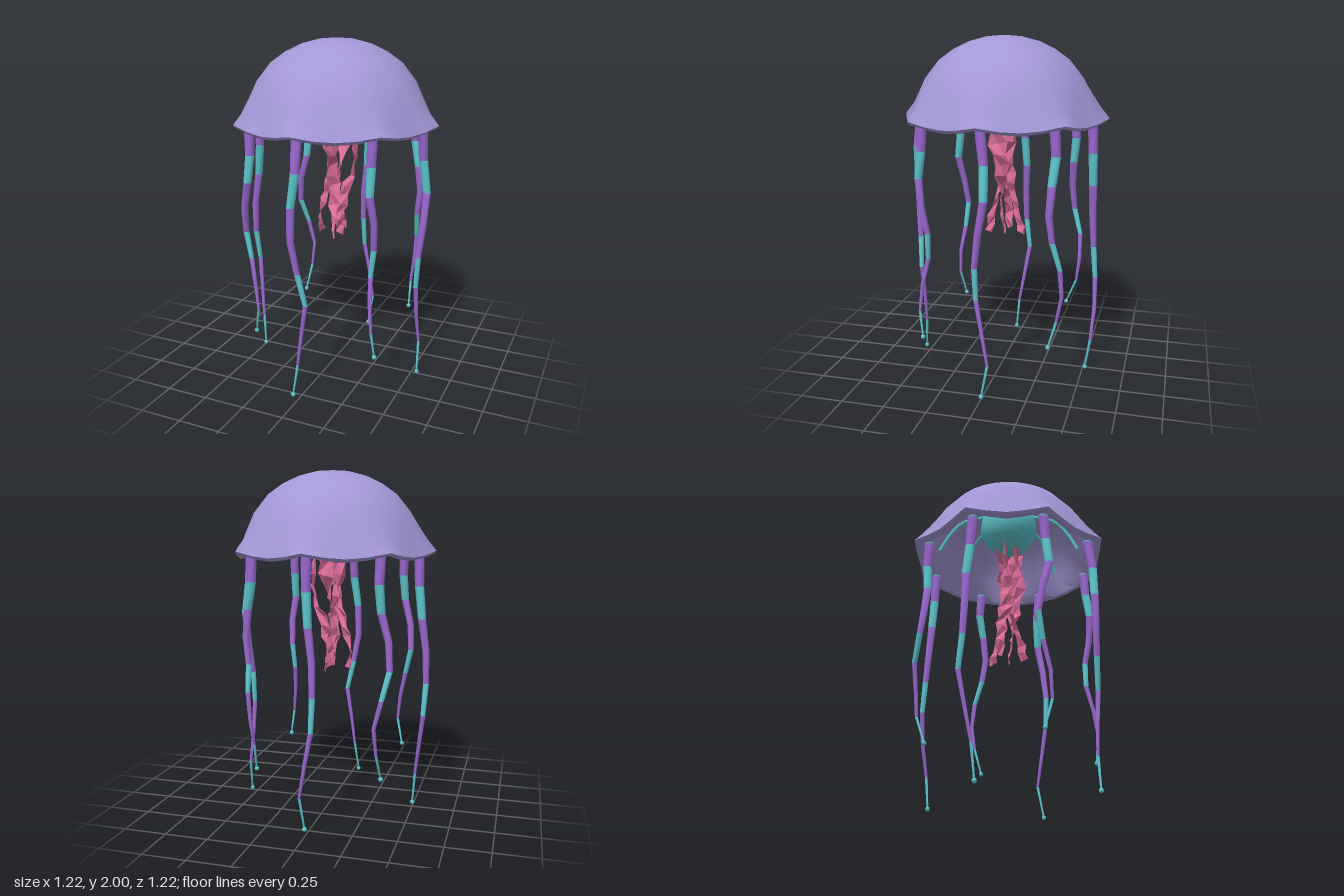
import * as THREE from 'three';
import { mergeVertices, toCreasedNormals } from 'three/addons/utils/BufferGeometryUtils.js';

const mat = (name, color, extra = {}) => {
  const m = new THREE.MeshStandardMaterial({ color, ...extra });
  m.name = name;
  return m;
};

// Scalloped bell: a lathed shell whose rim is pulled in and down between eight tips
function bellGeometry() {
  const profile = [
    [0, 1.975], [0.19, 1.94], [0.35, 1.845], [0.435, 1.745], [0.49, 1.65], [0.535, 1.58], [0.575, 1.53],
    [0.6, 1.528], [0.612, 1.543],
    [0.565, 1.6], [0.52, 1.665], [0.46, 1.76], [0.375, 1.862], [0.29, 1.923], [0.2, 1.966], [0.1, 1.992], [0, 2],
  ].map(([r, y]) => new THREE.Vector2(r, y));
  let geo = new THREE.LatheGeometry(profile, 32);
  const p = geo.attributes.position;
  for (let i = 0; i < p.count; i++) {
    const x = p.getX(i), y = p.getY(i), z = p.getZ(i), r = Math.hypot(x, z);
    if (r < 1e-5) continue;
    const dip = Math.abs(Math.sin(4 * Math.atan2(x, z)));
    const w = Math.min(1, Math.max(0, (1.83 - y) / 0.3)) ** 2 * dip;
    const k = (r - 0.057 * w) / r;
    p.setXYZ(i, x * k, y - 0.034 * w, z * k);
  }
  geo.deleteAttribute('uv');
  geo.deleteAttribute('normal');
  geo = mergeVertices(geo, 1e-4);
  return toCreasedNormals(geo, 1.0);
}

// Tentacle centre lines in hundredths: x at nine heights, then z at nine heights
const LONG = [
  [[52, 52.5, 55, 54.5, 53, 52, 52, 53, 53.5], [0, -2, -2.5, 1, 3.5, 3, 0, -3.5, 0]],
  [[-51.5, -52, -54, -56.5, -57, -56, -53.5, -51, -49.5], [0, -1, -2, -1, -1.5, -4, -1, 2, 3.5]],
  [[0, 0, -2.5, -3, 0, 4, 1, -1.5, -4], [52, 54.5, 55.5, 55.5, 54, 52.5, 52, 52, 53.5]],
  [[0, 0, -1, -3, -3.5, -3, 0.5, 4, 2], [-52, -52.5, -53, -53, -54, -55.5, -56, -54.5, -51.5]],
];
const SHORT = [
  [[36.5, 36.5, 36.5, 38.5, 37.5, 36, 37, 38.5, 40], [37.5, 38.5, 40.5, 38.5, 35.5, 36, 39.5, 41, 39]],
  [[36.5, 36.5, 39.5, 41.5, 39.5, 38.5, 37, 36, 36.5], [-36.5, -37.5, -36, -35, -36.5, -41, -42, -39, -34.5]],
  [[-36.5, -36, -37, -41, -42, -38.5, -35, -33.5, -37], [37.5, 38.5, 40.5, 38, 35.5, 36.5, 39, 39, 36]],
  [[-36.5, -36, -37, -41, -42, -38.5, -34.5, -35.5, -37], [-36.5, -37.5, -36, -35, -36.5, -41, -41.5, -39.5, -33]],
];

function tentacle(xs, zs, endY, purple, teal) {
  const g = new THREE.Group();
  g.name = 'tentacle';
  const topY = 1.53, step = (topY - endY) / 8;
  const radius = i => 0.03 - 0.0245 * i / 8;
  // Bands run between path nodes; each ring is slid sideways onto the path
  const bands = [[0, 1], [1, 2, 1], [2, 4], [4, 5, 1], [5, 7], [7, 8, 1]];
  for (const [a, b, isTeal] of bands) {
    const n = b - a;
    const geo = new THREE.CylinderGeometry(radius(a), radius(b), n * step, 8, n, true);
    geo.translate(0, topY - (a + b) / 2 * step, 0);
    const p = geo.attributes.position;
    for (let i = 0; i < p.count; i++) {
      const node = Math.round((topY - p.getY(i)) / step);
      p.setX(i, p.getX(i) + xs[node] / 100);
      p.setZ(i, p.getZ(i) + zs[node] / 100);
    }
    geo.computeVertexNormals();
    const m = new THREE.Mesh(geo, isTeal ? teal : purple);
    m.name = isTeal ? 'tealBand' : 'purpleBand';
    g.add(m);
  }
  // Root joint and end bead
  const root = new THREE.Mesh(new THREE.SphereGeometry(0.031, 10, 6), teal);
  root.name = 'tentacleRoot';
  root.scale.y = 0.45;
  root.position.set(xs[0] / 100, topY, zs[0] / 100);
  const bead = new THREE.Mesh(new THREE.SphereGeometry(0.014, 8, 6), teal);
  bead.name = 'tentacleTip';
  bead.position.set(xs[8] / 100, endY, zs[8] / 100);
  g.add(root, bead);
  return g;
}

// Ragged ribbon hanging along a path, with twisting, jagged edges
function ribbonGeometry(points, phase) {
  const curve = new THREE.CatmullRomCurve3(points.map(p => new THREE.Vector3(...p)));
  const N = 13, pos = [], index = [];
  for (let i = 0; i <= N; i++) {
    const t = i / N, c = curve.getPoint(t);
    const ang = phase + 1.1 * Math.sin(t * 5 + phase);
    const w = 0.058 * (1 - 0.6 * t);
    const ruffle = 0.02 * (i % 2 ? 1 : -1) * (1 - 0.5 * t);
    const dx = Math.cos(ang), dz = Math.sin(ang);
    const left = w * (i % 2 ? 1.15 : 0.7), right = w * (i % 3 ? 0.75 : 1.2);
    pos.push(c.x - dx * left, c.y + 0.012 * (i % 2), c.z - dz * left);
    pos.push(c.x - dz * ruffle, c.y, c.z + dx * ruffle);
    pos.push(c.x + dx * right, c.y - 0.012 * (i % 2), c.z + dz * right);
    if (i < N) for (let k = 0; k < 2; k++) {
      const a = i * 3 + k;
      index.push(a, a + 3, a + 1, a + 1, a + 3, a + 4);
    }
  }
  let geo = new THREE.BufferGeometry();
  geo.setAttribute('position', new THREE.Float32BufferAttribute(pos, 3));
  geo.setIndex(index);
  geo = geo.toNonIndexed();
  geo.computeVertexNormals();
  return geo;
}

export function createModel() {
  const model = new THREE.Group();
  model.name = 'jellyfish';
  const lavender = mat('lavender bell', 0xa497d6);
  const purple = mat('purple tentacle', 0x9a68cf);
  const teal = mat('teal', 0x5cc5cb);
  const pink = mat('pink arms', 0xd96c98, { side: THREE.DoubleSide, flatShading: true });
  const add = (geo, m, name) => {
    const mesh = new THREE.Mesh(geo, m);
    mesh.name = name;
    model.add(mesh);
    return mesh;
  };

  add(bellGeometry(), lavender, 'bell');

  // Core under the crown
  add(new THREE.SphereGeometry(0.18, 20, 14), teal, 'core').position.y = 1.77;

  // Radial canals lining the bell
  for (let i = 0; i < 8; i++) {
    const path = new THREE.CatmullRomCurve3([
      new THREE.Vector3(0.12, 1.87, 0), new THREE.Vector3(0.3, 1.82, 0),
      new THREE.Vector3(0.39, 1.71, 0), new THREE.Vector3(0.44, 1.61, 0),
    ]);
    add(new THREE.TubeGeometry(path, 8, 0.011, 6), teal, 'radialCanal').rotation.y = (i + 0.5) * Math.PI / 4;
  }

  // Tentacles: long on the axes, short on the diagonals
  for (const [xs, zs] of LONG) model.add(tentacle(xs, zs, 0.017, purple, teal));
  for (const [xs, zs] of SHORT) model.add(tentacle(xs, zs, 0.28, purple, teal));

  // Four oral arms
  const arms = [
    [[0.07, 1.62, 0], [0.12, 1.42, 0.01], [0.11, 1.25, -0.01], [0.05, 1.1, 0], [0.02, 0.96, 0.01], [0.02, 0.84, -0.01]],
    [[-0.05, 1.62, 0], [-0.04, 1.42, 0], [-0.04, 1.25, 0.01], [-0.07, 1.1, -0.01], [-0.11, 0.96, 0], [-0.1, 0.84, -0.01]],
    [[0.01, 1.62, 0.06], [0.0, 1.42, 0.05], [-0.02, 1.25, 0.02], [0, 1.1, 0.03], [0.01, 0.96, 0.07], [0.02, 0.84, 0.09]],
    [[0, 1.62, -0.06], [0.03, 1.42, -0.05], [0.01, 1.25, -0.02], [-0.02, 1.1, -0.04], [0, 0.96, -0.08], [0.01, 0.84, -0.11]],
  ];
  arms.forEach((pts, i) => add(ribbonGeometry(pts, 0.4 + i * 1.3), pink, 'oralArm'));

  return model;
}
